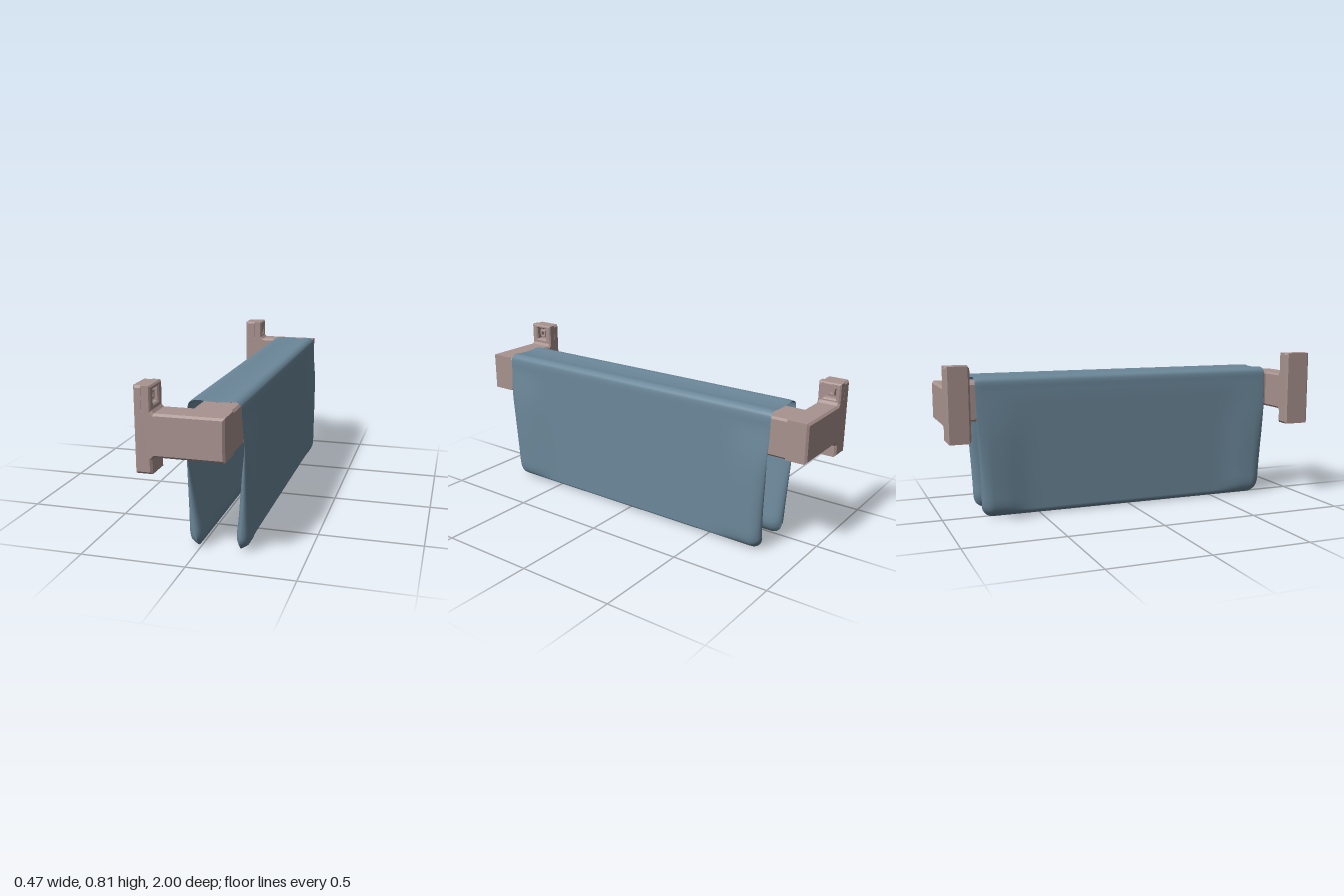
import * as THREE from 'three';

const metal = new THREE.MeshStandardMaterial({ color: 0xa8928f });
const cloth = new THREE.MeshStandardMaterial({ color: 0x6b8799 });

const toShape = (pts) => new THREE.Shape(pts.map(([x, y]) => new THREE.Vector2(x, y)));
const rect = (x0, x1, y0, y1) => [[x0, y0], [x1, y0], [x1, y1], [x0, y1]];

// Extrudes a shape from z0 to z1 with chamfers that stay inside the outline
function chamfered(shape, z0, z1, b = 0.01) {
  const g = new THREE.ExtrudeGeometry(shape, {
    depth: z1 - z0 - 2 * b, bevelEnabled: true, bevelThickness: b,
    bevelSize: b, bevelOffset: -b, bevelSegments: 1,
  });
  return g.translate(0, 0, z0 + b);
}

function add(parent, name, geometry, material) {
  const mesh = new THREE.Mesh(geometry, material);
  mesh.name = name;
  parent.add(mesh);
  return mesh;
}

// T-shaped wall bracket with a square screw recess in the upper tab
function makeBracket(name, z0, z1, back, yLow, yTop) {
  const g = new THREE.Group();
  g.name = name;
  const face = -0.14, floor = -0.172, lo = 0.497, hi = 0.692, end = 0.185;
  add(g, 'bracketBody', chamfered(toShape([
    [back, yLow], [face, yLow], [face, lo - 0.012], [face + 0.012, lo], [end, lo],
    [end, hi], [face + 0.012, hi], [face, hi + 0.012], [face, hi + 0.016],
    [floor, hi + 0.016], [floor, yTop], [back, yTop],
  ]), z0, z1), metal);

  const zc = (z0 + z1) / 2, w = (z1 - z0) / 2, yc = (hi + yTop) / 2 + 0.006;
  // Square ring lying in the plane facing +x
  const ring = (label, outline, hole, x0, x1, b) => {
    const s = toShape(outline);
    s.holes.push(new THREE.Path(rect(-hole, hole, yc - hole, yc + hole)
      .reverse().map(([x, y]) => new THREE.Vector2(x, y))));
    const m = add(g, label, chamfered(s, x0, x1, b).rotateY(Math.PI / 2), metal);
    m.position.z = zc;
  };
  ring('recessFrame', rect(-w, w, hi - 0.002, yTop), 0.032, floor - 0.015, face, 0.007);
  ring('screwHead', rect(-0.02, 0.02, yc - 0.02, yc + 0.02), 0.009, floor - 0.005, face - 0.014, 0.002);
  return g;
}

// Cross-section of the hanging towel: outer x, y and inner x, y from left hem to right hem
const SECTION = [
  [-0.012, 0.005, -0.012, 0.005], [-0.045, 0.028, 0.006, 0.03], [-0.057, 0.06, 0.014, 0.065],
  [-0.058, 0.15, 0.004, 0.15], [-0.055, 0.4, -0.03, 0.4], [-0.05, 0.5, -0.04, 0.5],
  [-0.039, 0.65, -0.035, 0.65], [-0.036, 0.695, -0.031, 0.695], [-0.028, 0.71, -0.024, 0.706],
  [0, 0.722, 0.002, 0.717], [0.06, 0.718, 0.06, 0.713], [0.13, 0.718, 0.13, 0.713],
  [0.185, 0.722, 0.183, 0.717], [0.207, 0.708, 0.203, 0.705], [0.213, 0.69, 0.209, 0.69],
  [0.215, 0.63, 0.211, 0.63], [0.23, 0.5, 0.213, 0.5], [0.235, 0.4, 0.2, 0.4],
  [0.236, 0.15, 0.176, 0.15], [0.234, 0.06, 0.167, 0.065], [0.222, 0.03, 0.176, 0.03],
  [0.19, 0.008, 0.19, 0.008],
];

function towelGeometry() {
  const { lerp, clamp, smoothstep } = THREE.MathUtils;
  const N = 84, half = 0.825, r = 0.06;
  const curve = (k) => new THREE.CatmullRomCurve3(
    SECTION.map((p) => new THREE.Vector3(p[k], p[k + 1], 0)));
  const outer = curve(0), inner = curve(2);

  // Stations along the rail, closer together at the rounded ends
  const stations = [];
  for (let k = 8; k >= 0; k--) stations.push(-(half - r) - r * Math.sin(k * Math.PI / 16));
  for (let k = 1; k < 28; k++) stations.push((half - r) * (k / 14 - 1));
  for (let k = 0; k <= 8; k++) stations.push(half - r + r * Math.sin(k * Math.PI / 16));

  const pos = [], idx = [];
  for (const z of stations) {
    const d = Math.max(0, Math.abs(z) - (half - r)) / r;
    const thick = Math.sqrt(Math.max(0, 1 - d * d));
    const lift = r * (1 - thick);
    const bulge = smoothstep(Math.abs(z), 0.55, 0.73);
    const top = [], under = [];
    for (let i = 0; i <= N; i++) {
      const o = outer.getPoint(i / N), n = inner.getPoint(i / N);
      // The outside is flat in the middle and swells towards the side hems
      o.x = lerp(clamp(o.x, -0.041, 0.214), o.x, bulge);
      const mid = o.clone().lerp(n, 0.5);
      for (const [p, out] of [[o, top], [n, under]]) {
        p.lerpVectors(mid, p, thick);
        p.y += lift * Math.max(0, 1 - p.y / 0.2);
        out.push([p.x, p.y, z * lerp(0.972, 1, smoothstep(p.y, 0.03, 0.65))]);
      }
    }
    pos.push(...[...top, ...under.reverse()].flat());
  }
  const ring = 2 * (N + 1);
  for (let i = 0; i < stations.length - 1; i++) {
    for (let j = 0; j < ring; j++) {
      const a = i * ring + j, b = i * ring + (j + 1) % ring;
      idx.push(a, a + ring, b, b, a + ring, b + ring);
    }
  }
  const g = new THREE.BufferGeometry();
  g.setAttribute('position', new THREE.Float32BufferAttribute(pos, 3));
  g.setIndex(idx);
  g.computeVertexNormals();
  return g;
}

export function createModel() {
  const model = new THREE.Group();
  model.name = 'towelRail';

  model.add(makeBracket('frontBracket', 0.858, 1, -0.217, 0.42, 0.81));
  model.add(makeBracket('backBracket', -1, -0.885, -0.237, 0.427, 0.795));

  // Square rail between the brackets, with chamfered edges
  const c = 0.01, x0 = 0, x1 = 0.185, y0 = 0.497, y1 = 0.692;
  const rail = new THREE.ExtrudeGeometry(toShape([
    [x0 + c, y0], [x1 - c, y0], [x1, y0 + c], [x1, y1 - c],
    [x1 - c, y1], [x0 + c, y1], [x0, y1 - c], [x0, y0 + c],
  ]), { depth: 1.96, bevelEnabled: false }).translate(0, 0, -0.98);
  add(model, 'rail', rail, metal);

  add(model, 'towel', towelGeometry(), cloth);
  return model;
}
